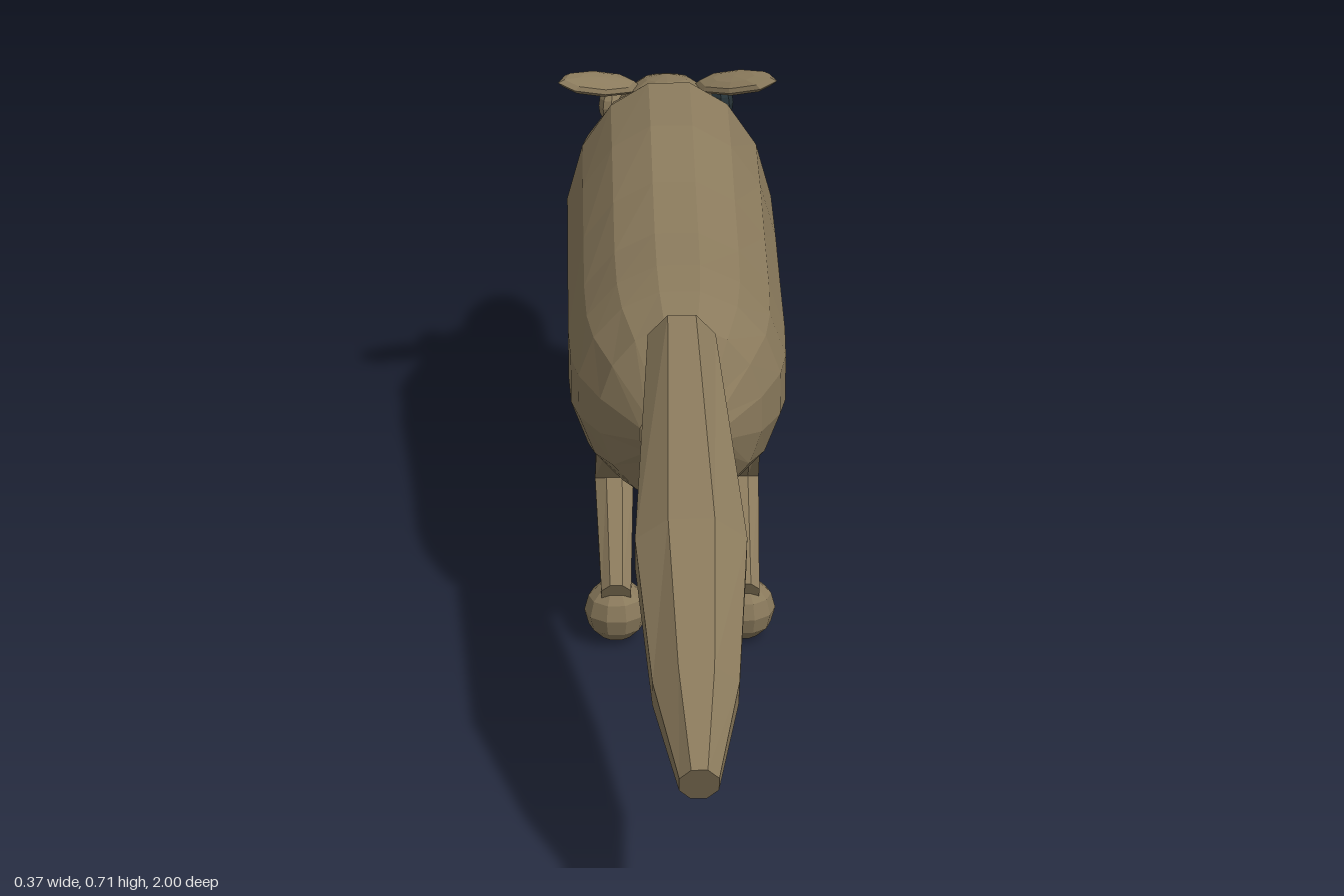
import * as THREE from 'three';

const fur = new THREE.MeshStandardMaterial({ color: 0x8a7a5c });
fur.name = 'fur brown';
const dark = new THREE.MeshStandardMaterial({ color: 0x263236 });
dark.name = 'nose dark';

// Splits the faces so that each one is shaded flat
function facet(geometry) {
  const flat = geometry.index ? geometry.toNonIndexed() : geometry;
  flat.computeVertexNormals();
  return flat;
}

function add(parent, name, geometry, material) {
  const mesh = new THREE.Mesh(facet(geometry), material);
  mesh.name = name;
  parent.add(mesh);
  return mesh;
}

// Closed skin over elliptical rings [z, y, halfWidth, halfHeight] centred on x.
// With follow on, rings turn square to the path they lie on.
function loft(rings, sides, { x = 0, follow = false } = {}) {
  const pos = [], index = [], n = rings.length;
  rings.forEach(([z, y, hw, hh], i) => {
    const a = rings[Math.max(i - 1, 0)], b = rings[Math.min(i + 1, n - 1)];
    const tilt = follow ? Math.atan2(a[1] - b[1], b[0] - a[0]) : 0;
    for (let j = 0; j < sides; j++) {
      const t = (j + 0.5) / sides * Math.PI * 2, up = Math.sin(t) * hh;
      pos.push(x + Math.cos(t) * hw, y + up * Math.cos(tilt), z + up * Math.sin(tilt));
    }
  });
  for (let i = 0; i < n - 1; i++) {
    for (let j = 0; j < sides; j++) {
      const k = (j + 1) % sides, p = i * sides, q = p + sides;
      index.push(p + j, p + k, q + k, p + j, q + k, q + j);
    }
  }
  const last = (n - 1) * sides;
  for (let j = 1; j < sides - 1; j++) {
    index.push(0, j + 1, j, last, last + j, last + j + 1);
  }
  const g = new THREE.BufferGeometry();
  g.setAttribute('position', new THREE.Float32BufferAttribute(pos, 3));
  g.setIndex(index);
  return g;
}

export function createModel() {
  const model = new THREE.Group();
  model.name = 'animal';

  // Body: z, bottom, top, half width
  const body = [
    [-0.785, 0.36, 0.54, 0.07], [-0.73, 0.28, 0.62, 0.13], [-0.64, 0.235, 0.67, 0.163],
    [-0.52, 0.2, 0.712, 0.174], [-0.37, 0.2, 0.69, 0.174], [-0.22, 0.2, 0.648, 0.174],
    [-0.08, 0.203, 0.615, 0.174], [0.02, 0.215, 0.6, 0.17], [0.09, 0.238, 0.585, 0.158],
    [0.17, 0.265, 0.56, 0.125], [0.24, 0.36, 0.465, 0.065],
  ].map(([z, lo, hi, w]) => [z, (lo + hi) / 2, w, (hi - lo) / 2]);
  add(model, 'body', loft(body, 16), fur);

  // Tail
  add(model, 'tail', loft([
    [0.185, 0.53, 0.055, 0.066], [0.635, 0.408, 0.085, 0.072],
    [0.85, 0.3, 0.064, 0.066], [0.99, 0.238, 0.029, 0.034],
  ], 8, { follow: true }), fur);

  // Head, muzzle and nose
  const head = add(model, 'head', new THREE.SphereGeometry(1, 12, 8), fur);
  head.scale.set(0.1, 0.095, 0.16);
  head.position.set(0, 0.57, -0.68);
  head.rotation.x = -0.2;
  add(model, 'muzzle', loft([
    [-0.89, 0.53, 0.065, 0.055], [-0.81, 0.53, 0.074, 0.06], [-0.68, 0.54, 0.09, 0.08],
  ], 10), fur);
  add(model, 'nose', loft([
    [-1, 0.528, 0.015, 0.012], [-0.975, 0.529, 0.037, 0.032],
    [-0.93, 0.53, 0.056, 0.049], [-0.89, 0.53, 0.067, 0.057],
  ], 10), dark);

  for (const side of [1, -1]) {
    const label = side > 0 ? 'left' : 'right';

    // Eyes: only the one on +x is dark
    const eye = add(model, label + 'Eye', new THREE.SphereGeometry(1, 10, 8), side > 0 ? dark : fur);
    eye.scale.set(0.024, 0.036, 0.046);
    eye.position.set(side * 0.09, 0.602, side > 0 ? -0.745 : -0.732);
    eye.rotation.y = side * 0.25;

    // Ears: flattened leaves swept outwards and back
    const ear = add(model, label + 'Ear', new THREE.SphereGeometry(1, 8, 6), fur);
    ear.scale.set(0.077, 0.014, 0.032);
    ear.position.set(side * 0.116, 0.664, -0.645);
    ear.rotation.set(0.35, side * -0.38, side * 0.32);

    // Legs and round feet
    const legs = {
      Front: [[-0.6, 0.31, 0.028, 0.028], [-0.535, 0.205, 0.033, 0.03], [-0.655, 0.07, 0.024, 0.022]],
      Rear: [[0.02, 0.315, 0.03, 0.03], [-0.075, 0.195, 0.033, 0.032], [0.13, 0.09, 0.025, 0.025]],
    };
    const footZ = { Front: -0.666, Rear: 0.1 };
    for (const end in legs) {
      add(model, label + end + 'Leg', loft(legs[end], 8, { x: side * 0.1, follow: true }), fur);
      const foot = add(model, label + end + 'Foot', new THREE.SphereGeometry(0.05, 10, 6), fur);
      foot.position.set(side * 0.1, 0.05, footZ[end]);
    }
  }
  return model;
}
